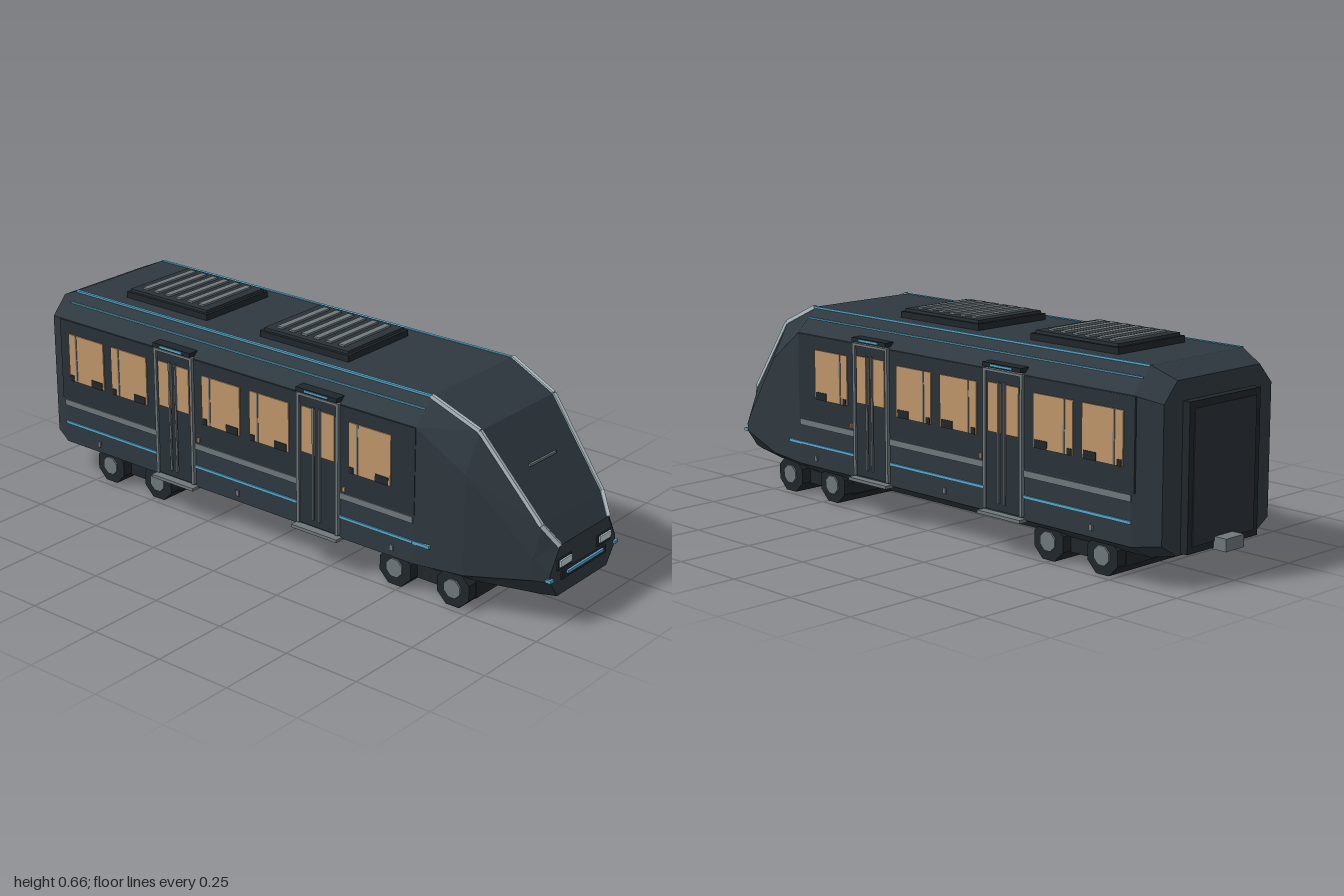
import * as THREE from 'three';

const mat = (name, color, side = THREE.FrontSide) => {
  const m = new THREE.MeshStandardMaterial({ color, side, flatShading: true });
  m.name = name;
  return m;
};

export function createModel() {
  const tram = new THREE.Group();
  tram.name = 'tram';
  const body = mat('bodyCharcoal', 0x2f3940);
  const dark = mat('darkTrim', 0x20272c);
  const panel = mat('sidePanel', 0x2a3238);
  const grey = mat('metalGrey', 0x6f787c);
  const silver = mat('pillarSilver', 0xb4c3cb);
  const lamp = mat('lampWhite', 0xc4d8e2);
  const blue = mat('accentBlue', 0x55a8cc);
  const amber = mat('windowAmber', 0xbf966a);

  const add = (name, geo, m, x = 0, y = 0, z = 0) => {
    const mesh = new THREE.Mesh(geo, m);
    mesh.name = name;
    mesh.position.set(x, y, z);
    tram.add(mesh);
    return mesh;
  };
  // Box given by its extents
  const box = (name, m, x0, x1, y0, y1, z0, z1) =>
    add(name, new THREE.BoxGeometry(x1 - x0, y1 - y0, Math.abs(z1 - z0)), m,
      (x0 + x1) / 2, (y0 + y1) / 2, (z0 + z1) / 2);
  // Square bar between two points
  const beam = (name, m, a, b, w) => {
    const p = new THREE.Vector3(...a), q = new THREE.Vector3(...b);
    const mesh = add(name, new THREE.BoxGeometry(w, w, p.distanceTo(q)), m);
    mesh.position.copy(p).lerp(q, 0.5);
    mesh.lookAt(q);
  };

  // Hull: x, roof half width, roof y, side half width, side top y, side low y, floor half width, floor y
  const sections = [
    [-0.93, 0.18, 0.59, 0.235, 0.53, 0.13, 0.17, 0.09],
    [-0.85, 0.2, 0.625, 0.272, 0.55, 0.12, 0.19, 0.075],
    [0.58, 0.2, 0.625, 0.272, 0.55, 0.12, 0.19, 0.075],
    [0.74, 0.185, 0.555, 0.25, 0.44, 0.125, 0.18, 0.08],
    [0.94, 0.155, 0.31, 0.19, 0.22, 0.15, 0.14, 0.088],
    [0.985, 0.125, 0.25, 0.17, 0.175, 0.15, 0.13, 0.092],
  ];
  const rings = sections.map(([x, rw, ry, sw, sy, ly, fw, fy]) => {
    const half = [[rw, ry], [sw, sy], [sw, ly], [fw, fy]];
    return [...half.map(([z, y]) => [x, y, z]), ...half.reverse().map(([z, y]) => [x, y, -z])];
  });
  const verts = [];
  for (let r = 0; r < rings.length - 1; r++) {
    for (let i = 0; i < 8; i++) {
      const j = (i + 1) % 8, a = rings[r], b = rings[r + 1];
      verts.push(...a[i], ...a[j], ...b[i], ...b[i], ...a[j], ...b[j]);
    }
  }
  const rear = rings[0], nose = rings[rings.length - 1];
  for (let i = 1; i < 7; i++) {
    verts.push(...nose[0], ...nose[i], ...nose[i + 1]);
    verts.push(...rear[0], ...rear[i + 1], ...rear[i]);
  }
  const hull = new THREE.BufferGeometry();
  hull.setAttribute('position', new THREE.Float32BufferAttribute(verts, 3));
  hull.computeVertexNormals();
  add('hull', hull, body);

  // Both long sides
  const windows = [-0.82, -0.63, -0.24, -0.045, 0.34];
  const doors = [-0.355, 0.225];
  for (const s of [1, -1]) {
    const plate = (name, m, x0, x1, y0, y1, z0, z1) => box(name, m, x0, x1, y0, y1, s * z0, s * z1);
    plate('windowBand', panel, -0.86, 0.58, 0.275, 0.548, 0.268, 0.274);
    plate('waistStripe', grey, -0.85, 0.575, 0.25, 0.27, 0.268, 0.276);
    plate('lowerStripe', blue, -0.85, 0.575, 0.186, 0.195, 0.268, 0.277);
    plate('stripeTip', blue, 0.575, 0.635, 0.184, 0.194, 0.262, 0.274);
    for (const x of windows) {
      plate('window', amber, x, x + 0.155, 0.345, 0.505, 0.27, 0.278);
      plate('windowPole', grey, x + 0.03, x + 0.036, 0.345, 0.505, 0.276, 0.28);
      plate('seatSilhouette', dark, x + 0.1, x + 0.148, 0.345, 0.37, 0.276, 0.28);
      plate('seatSilhouette', dark, x + 0.004, x + 0.02, 0.345, 0.365, 0.276, 0.28);
    }
    for (const x of doors) {
      plate('doorLeaf', panel, x - 0.072, x + 0.072, 0.13, 0.55, 0.268, 0.278);
      for (const k of [-1, 1]) {
        plate('doorFrame', grey, x + k * 0.075 - 0.005, x + k * 0.075 + 0.005, 0.13, 0.553, 0.268, 0.284);
        plate('doorWindow', amber, x + k * 0.036 - 0.027, x + k * 0.036 + 0.027, 0.365, 0.512, 0.272, 0.281);
        plate('doorHandle', grey, x + k * 0.012 - 0.003, x + k * 0.012 + 0.003, 0.155, 0.52, 0.283, 0.289);
      }
      plate('doorFrame', grey, x - 0.08, x + 0.08, 0.545, 0.553, 0.268, 0.284);
      plate('doorStep', grey, x - 0.088, x + 0.088, 0.115, 0.125, 0.25, 0.3);
      plate('doorCanopy', dark, x - 0.078, x + 0.078, 0.557, 0.571, 0.25, 0.288);
      plate('doorLight', blue, x - 0.045, x + 0.045, 0.561, 0.568, 0.287, 0.291);
      plate('doorButton', amber, x + 0.093, x + 0.101, 0.277, 0.292, 0.272, 0.279);
    }
    for (const x of [-0.7, -0.1, 0.5]) plate('sideMarker', grey, x - 0.006, x + 0.006, 0.14, 0.158, 0.268, 0.277);

    // Roof light lines
    beam('roofEdgeLine', blue, [-0.85, 0.622, s * 0.199], [0.58, 0.622, s * 0.199], 0.01);
    beam('roofBevelLine', blue, [-0.85, 0.592, s * 0.228], [0.58, 0.592, s * 0.228], 0.008);

    // Windscreen pillars along the hull edge
    const edge = sections.slice(2).map(([x, rw, ry]) => [x, ry, s * rw]);
    for (let i = 0; i < 3; i++) beam('windscreenPillar', silver, edge[i], edge[i + 1], 0.012);

    // Nose lights
    box('lampHousing', dark, 0.975, 0.99, 0.175, 0.21, s * 0.068, s * 0.138);
    box('headlamp', lamp, 0.985, 0.995, 0.186, 0.207, s * 0.074, s * 0.132);
    box('noseMarker', blue, 0.975, 0.992, 0.15, 0.16, s * 0.16, s * 0.178);
  }
  box('bumperPlate', dark, 0.98, 0.99, 0.14, 0.165, -0.115, 0.115);
  box('noseLightBar', blue, 0.988, 0.997, 0.154, 0.163, -0.093, 0.093);
  beam('wiper', grey, [0.839, 0.44, 0.077], [0.84, 0.439, -0.055], 0.007);

  // Roof units with cooling slats
  for (const x of [-0.507, 0.058]) {
    box('roofUnit', dark, x - 0.173, x + 0.173, 0.62, 0.645, -0.145, 0.145);
    box('roofUnitLid', panel, x - 0.163, x + 0.163, 0.64, 0.654, -0.135, 0.135);
    for (let i = 0; i < 6; i++) {
      const sx = x + (i - 2.5) * 0.048;
      box('roofSlat', grey, sx - 0.011, sx + 0.011, 0.652, 0.66, -0.113, 0.113);
    }
  }

  // Bogies: full-width rollers with hubs
  for (const x of [-0.595, 0.583]) {
    box('bogieFrame', dark, x - 0.165, x + 0.165, 0.03, 0.085, -0.19, 0.19);
    for (const k of [-1, 1]) {
      const wx = x + k * 0.106;
      const wheel = add('wheel', new THREE.CylinderGeometry(0.062, 0.062, 0.45, 8), dark, wx, 0.058, 0);
      wheel.rotation.set(Math.PI / 2, Math.PI / 8, 0);
      const hub = add('wheelHub', new THREE.CylinderGeometry(0.031, 0.031, 0.462, 8), grey, wx, 0.058, 0);
      hub.rotation.set(Math.PI / 2, Math.PI / 8, 0);
    }
  }

  // Rear gangway and coupler
  box('rearGangway', dark, -0.955, -0.925, 0.095, 0.53, -0.155, 0.155);
  box('gangwayDoor', panel, -0.958, -0.95, 0.115, 0.51, -0.135, 0.135);
  box('coupler', grey, -1, -0.95, 0.09, 0.128, -0.04, 0.04);
  return tram;
}
